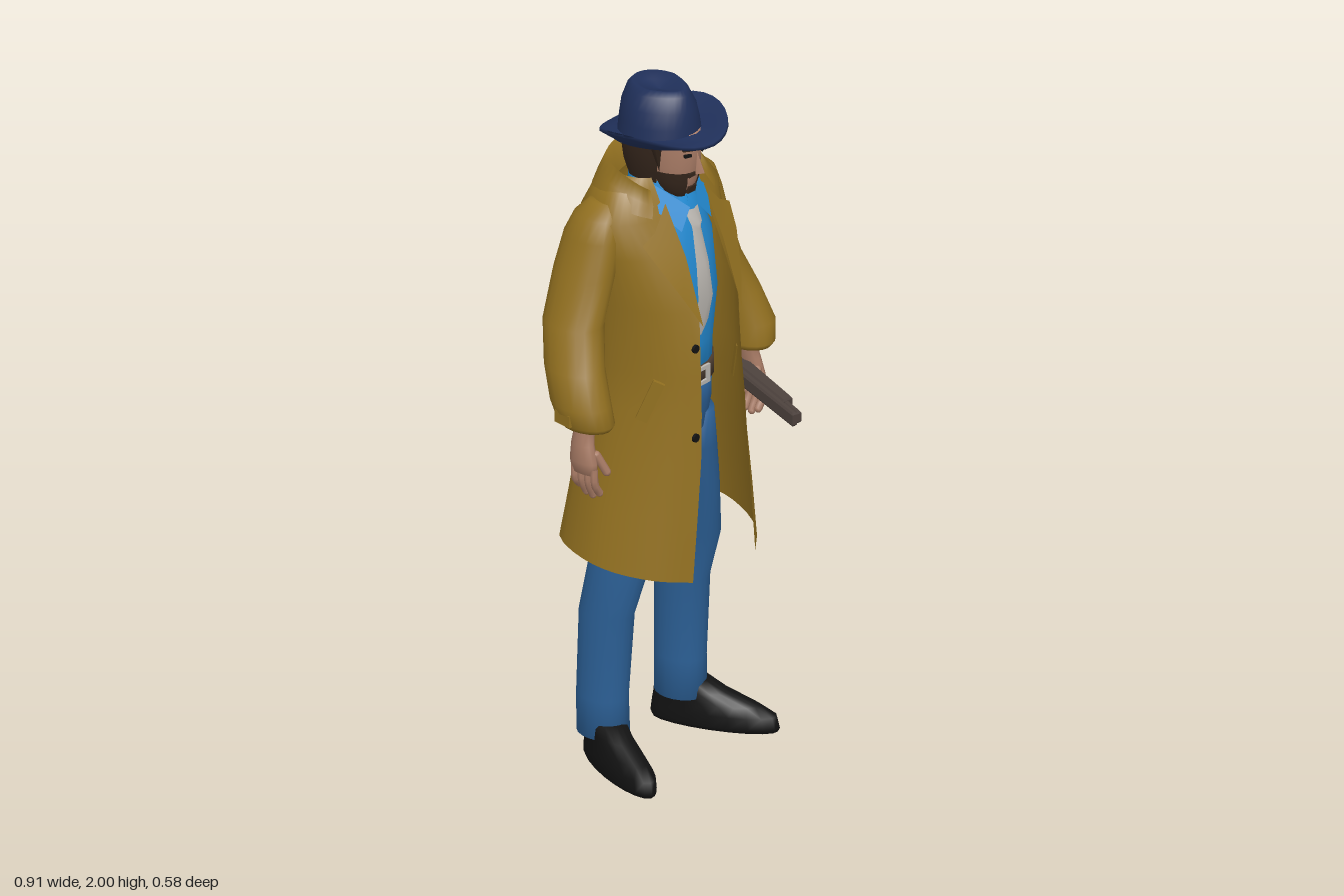
import * as THREE from 'three';

const mat = (name, color, double) => {
  const m = new THREE.MeshStandardMaterial({ color, side: double ? THREE.DoubleSide : THREE.FrontSide });
  m.name = name;
  return m;
};
const lerp = THREE.MathUtils.lerp;
const V = (x, y, z) => new THREE.Vector3(x, y, z);

// Skin a grid of cross-section rows, listed from bottom to top
function loft(rows, closed) {
  const n = rows[0].length, pos = [], idx = [];
  rows.forEach(r => r.forEach(p => pos.push(p.x, p.y, p.z)));
  for (let i = 0; i < rows.length - 1; i++)
    for (let j = 0; j < (closed ? n : n - 1); j++) {
      const a = i * n + j, b = i * n + (j + 1) % n;
      idx.push(a, a + n, b, b, a + n, b + n);
    }
  const g = new THREE.BufferGeometry();
  g.setAttribute('position', new THREE.Float32BufferAttribute(pos, 3));
  g.setIndex(idx);
  g.computeVertexNormals();
  return g;
}

// Elliptical sections [x, y, z, rx, rz]; a partial angle range leaves the shell open
function limb(sections, t0 = 0, t1 = 2, n = 20) {
  const closed = t1 - t0 === 2;
  const s = closed ? [[...sections[0].slice(0, 3), 0, 0], ...sections, [...sections.at(-1).slice(0, 3), 0, 0]] : sections;
  return loft(s.map(([x, y, z, rx, rz]) => Array.from({ length: closed ? n : n + 1 }, (_, j) => {
    const t = Math.PI * (t0 + (t1 - t0) * j / n);
    return V(x + rx * Math.cos(t), y, z + rz * Math.sin(t));
  })), closed);
}

// Open-fronted garment row: half width, opening, front z, back z, heights from front to back
function wrap(w, o, f, b, y) {
  const ys = Array.isArray(y) ? y : [y, y, y];
  const half = [[o, f], [o + 0.55 * (w - o), lerp(f, -0.02, 0.25)], [w * 0.96, lerp(f, -0.02, 0.65)],
    [w, -0.03], [w * 0.8, b * 0.75], [w * 0.4, b * 0.97], [0, b]];
  const pts = half.map(([x, z], i) => V(x, i < 3 ? lerp(ys[0], ys[1], i / 3) : lerp(ys[1], ys[2], (i - 3) / 3), z));
  const mirror = pts.slice(0, -1).reverse().map(p => V(-p.x, p.y, p.z));
  return new THREE.CatmullRomCurve3([...pts, ...mirror]).getPoints(36);
}

// Small fan-shaped cloth piece
function patch(points, s = 1) {
  const g = new THREE.BufferGeometry(), idx = [];
  g.setAttribute('position', new THREE.Float32BufferAttribute(points.flatMap(([x, y, z]) => [x * s, y, z]), 3));
  for (let i = 1; i < points.length - 1; i++) idx.push(0, i, i + 1);
  g.setIndex(idx);
  g.computeVertexNormals();
  return g;
}

// Flat-lying plate outlined in x and z, sloping up towards the back
function gunPlate(points, depth) {
  const shape = new THREE.Shape(points.map(([x, z]) => new THREE.Vector2(x, -z)));
  const g = new THREE.ExtrudeGeometry(shape, { depth: depth - 0.012, bevelThickness: 0.006, bevelSize: 0.004, bevelOffset: -0.004, bevelSegments: 1 });
  g.rotateX(-Math.PI / 2);
  const p = g.attributes.position;
  for (let i = 0; i < p.count; i++) p.setY(i, p.getY(i) - depth / 2 + 0.006 + 1.025 - 0.155 * p.getZ(i));
  g.computeVertexNormals();
  return g;
}

export function createModel() {
  const coat = mat('coat ochre', 0x927020, true), navy = mat('hat navy', 0x20305a, true);
  const shirt = mat('shirt blue', 0x2389d0, true), denim = mat('denim blue', 0x2c6096);
  const silver = mat('tie grey', 0xbab6b0, true), leather = mat('belt leather', 0x4a3b2f);
  const black = mat('shoe black', 0x121212), skin = mat('skin', 0xa97c66);
  const brown = mat('hair brown', 0x35261c, true), iron = mat('gun brown', 0x4c413c);

  const root = new THREE.Group(), body = new THREE.Group();
  body.name = 'man';
  body.position.x = -0.0425;
  root.add(body);
  const add = (name, geo, m, pos = [0, 0, 0], rot = [0, 0, 0], parent = body) => {
    const o = new THREE.Mesh(geo, m);
    o.name = name;
    o.position.set(...pos);
    o.rotation.set(...rot);
    parent.add(o);
    return o;
  };
  const box = (w, h, d) => new THREE.BoxGeometry(w, h, d);

  // Hat: brim curled up at the sides, pinched and dented crown
  const hatRing = (rx, rz, cz, yOf, pinch = 0) => Array.from({ length: 32 }, (_, j) => {
    const t = j / 16 * Math.PI, z = cz + rz * Math.sin(t);
    return V(rx * Math.cos(t) * (1 - pinch * Math.max(0, Math.sin(t))), yOf(t, z), z);
  });
  const brimY = (lift, k) => (t, z) => 1.848 + lift + 0.1 * (z - 0.02) + k * Math.cos(t) ** 2;
  add('hatBrim', loft([hatRing(0.09, 0.1, 0.015, brimY(0.006, 0)), hatRing(0.135, 0.145, 0.02, brimY(0, 0.012)),
    hatRing(0.17, 0.178, 0.022, brimY(0, 0.05)), hatRing(0.168, 0.176, 0.022, brimY(0.009, 0.05)),
    hatRing(0.135, 0.145, 0.02, brimY(0.012, 0.012)), hatRing(0.1, 0.115, 0.012, brimY(0.02, 0))], true), navy);
  add('hatCrown', loft([[0.107, 0.12, 1.855, 0], [0.102, 0.116, 1.9, 0.05], [0.095, 0.11, 1.945, 0.15],
    [0.078, 0.096, 1.985, 0.3], [0.062, 0.082, 2, 0.35], [0.035, 0.055, 1.985, 0.35], [0, 0, 1.977, 0]]
    .map(([rx, rz, y, p]) => hatRing(rx, rz, 0.008, () => y, p)), true), navy);

  // Head, neck and hair
  const head = new THREE.Group();
  head.name = 'head';
  head.position.x = 0.008;
  body.add(head);
  const face = (name, g, m, p, r) => add(name, g, m, p, r, head);
  face('skull', limb([[0, 1.69, 0.06, 0.032, 0.04], [0, 1.705, 0.053, 0.048, 0.058], [0, 1.735, 0.045, 0.06, 0.076],
    [0, 1.78, 0.03, 0.07, 0.1], [0, 1.84, 0.022, 0.075, 0.113], [0, 1.88, 0.02, 0.073, 0.11]]), skin);
  face('neck', limb([[0, 1.6, 0, 0.058, 0.06], [0, 1.75, 0.015, 0.052, 0.058]]), skin);
  face('nose', new THREE.ConeGeometry(0.017, 0.06, 4), skin, [0, 1.795, 0.138], [-0.15, 0, 0]);
  face('hair', limb([[0, 1.715, -0.005, 0.07, 0.085], [0, 1.76, 0, 0.085, 0.105], [0, 1.82, 0.005, 0.098, 0.115],
    [0, 1.88, 0.01, 0.098, 0.11]], 0.83, 2.17), brown);
  face('moustache', box(0.056, 0.011, 0.009), brown, [0, 1.759, 0.125]);
  face('goatee', box(0.03, 0.022, 0.009), brown, [0, 1.708, 0.112], [0.25, 0, 0]);
  for (const s of [-1, 1]) {
    face('eye', box(0.021, 0.008, 0.008), black, [0.031 * s, 1.821, 0.126], [0, 0.35 * s, 0]);
    face('eyebrow', box(0.03, 0.009, 0.009), brown, [0.031 * s, 1.84, 0.126], [0, 0.35 * s, 0.12 * s]);
    face('hairLock', new THREE.ConeGeometry(0.02, 0.1, 6), brown, [0.082 * s, 1.82, 0.062], [Math.PI, 0, 0.15 * s]);
    face('beardSide', limb([[0, 1.685, 0.06, 0.034, 0.042], [0, 1.703, 0.053, 0.051, 0.061], [0, 1.735, 0.045, 0.063, 0.079],
      [0, 1.765, 0.035, 0.07, 0.094]], s > 0 ? 0 : 0.62, s > 0 ? 0.38 : 1, 8), brown);
  }

  // Shirt, tie and belt
  add('shirtBody', limb([[0, 1.12, 0.025, 0.135, 0.12], [0, 1.25, 0.022, 0.14, 0.128], [0, 1.4, 0.02, 0.15, 0.145],
    [0, 1.55, 0.01, 0.15, 0.135], [0, 1.64, 0, 0.125, 0.108], [0, 1.69, 0, 0.072, 0.08]]), shirt);
  add('shirtCollarBand', loft([[1.64, 0.085, 0.1], [1.73, 0.07, 0.075]].map(([y, w, f]) => wrap(w, 0.015, f, -0.075, y)), false), shirt);
  const tieRows = [[1.235, 0.002, 0.142], [1.28, 0.033, 0.147], [1.4, 0.03, 0.174], [1.5, 0.025, 0.163],
    [1.6, 0.017, 0.142], [1.615, 0.022, 0.142], [1.655, 0.027, 0.122]];
  add('tie', loft(tieRows.map(([y, w, z]) => [V(-w, y, z - 0.004), V(0, y, z + 0.006), V(w, y, z - 0.004)]), false), silver);
  add('belt', limb([[0, 1.13, 0.025, 0.143, 0.127], [0, 1.185, 0.025, 0.143, 0.127]]), leather);
  const frame = new THREE.Shape([[-0.034, -0.027], [0.034, -0.027], [0.034, 0.027], [-0.034, 0.027]].map(p => new THREE.Vector2(...p)));
  frame.holes.push(new THREE.Path([[-0.022, -0.016], [-0.022, 0.016], [0.022, 0.016], [0.022, -0.016]].map(p => new THREE.Vector2(...p))));
  add('buckle', new THREE.ExtrudeGeometry(frame, { depth: 0.008, bevelEnabled: false }), silver, [0, 1.158, 0.15]);

  // Trousers
  add('trouserHips', limb([[0, 0.93, 0.015, 0.06, 0.09], [0, 0.98, 0.018, 0.13, 0.112], [0, 1.06, 0.022, 0.142, 0.12],
    [0, 1.14, 0.025, 0.138, 0.122]]), denim);

  // Coat shell and turned-up collar
  add('coatBody', loft([
    wrap(0.275, 0.13, 0.235, -0.215, [0.61, 0.652, 0.678]), wrap(0.248, 0.112, 0.236, -0.196, 0.8),
    wrap(0.22, 0.096, 0.235, -0.175, 0.96), wrap(0.203, 0.09, 0.232, -0.152, 1.1), wrap(0.193, 0.085, 0.225, -0.137, 1.21),
    wrap(0.202, 0.08, 0.215, -0.157, 1.4), wrap(0.222, 0.08, 0.15, -0.167, 1.55), wrap(0.23, 0.085, 0.1, -0.16, 1.65),
    wrap(0.175, 0.085, 0.065, -0.135, 1.725), wrap(0.12, 0.085, 0.05, -0.11, 1.755)], false), coat);
  add('coatCollar', loft([wrap(0.115, 0.085, 0.08, -0.1, [1.66, 1.7, 1.72]), wrap(0.145, 0.1, 0.06, -0.115, [1.725, 1.785, 1.81]),
    wrap(0.168, 0.115, 0.082, -0.13, [1.69, 1.745, 1.765]), wrap(0.186, 0.13, 0.092, -0.145, [1.66, 1.7, 1.715])], false), coat);
  for (const y of [1.3, 1.04])
    add('coatButton', new THREE.CylinderGeometry(0.012, 0.012, 0.008, 12), black, [y > 1.2 ? -0.103 : -0.115, y, y > 1.2 ? 0.221 : 0.232], [Math.PI / 2, 0, 0]);

  for (const s of [-1, 1]) {
    const side = s > 0 ? 'left' : 'right';
    add(side + 'ShirtCollarWing', patch([[0.016, 1.665, 0.128], [0.082, 1.735, 0.055], [0.1, 1.665, 0.09], [0.062, 1.61, 0.138]], s), shirt);
    add(side + 'Lapel', patch([[0.078, 1.55, 0.166], [0.08, 1.36, 0.23], [0.122, 1.45, 0.192], [0.162, 1.54, 0.142],
      [0.182, 1.6, 0.1], [0.135, 1.625, 0.105], [0.08, 1.69, 0.095]], s), coat);
    add(side + 'PocketFlap', box(0.034, 0.125, 0.012), coat, [0.178 * s, 1.14, 0.124], [0, 0.95 * s, 0.4 * s]);

    // Sleeve, bent slightly forward, with a cuff strap
    add(side + 'Sleeve', limb([[0.333, 1.1, 0.03, 0.056, 0.078], [0.336, 1.115, 0.03, 0.064, 0.088], [0.343, 1.17, 0.018, 0.071, 0.091],
      [0.326, 1.26, -0.018, 0.07, 0.091], [0.287, 1.37, -0.055, 0.07, 0.092], [0.238, 1.5, -0.058, 0.07, 0.094],
      [0.212, 1.6, -0.052, 0.062, 0.087], [0.198, 1.66, -0.045, 0.052, 0.07], [0.175, 1.695, -0.04, 0.03, 0.045]]
      .map(([x, ...r]) => [x * s, ...r])), coat);
    add(side + 'CuffStrap', box(0.012, 0.035, 0.06), coat, [0.4 * s, 1.135, 0.005], [0, 0.15 * s, 0]);

    // Hand: palm, four curled fingers and a thumb
    add(side + 'Palm', limb([[0.35, 0.965, 0.038, 0.016, 0.042], [0.352, 1.0, 0.036, 0.022, 0.046], [0.348, 1.05, 0.03, 0.024, 0.036],
      [0.34, 1.085, 0.028, 0.027, 0.03], [0.336, 1.13, 0.028, 0.03, 0.033]].map(([x, ...r]) => [x * s, ...r]), 0, 2, 12), skin);
    for (let i = 0; i < 4; i++) {
      const z = 0.004 + 0.023 * i, drop = [0.02, 0.004, 0, 0.012][i];
      const path = new THREE.CatmullRomCurve3([V(0.352 * s, 0.985, z), V(0.352 * s, 0.94, z + 0.002), V(0.332 * s, 0.895 + drop, z + 0.002)]);
      add(side + 'Finger', new THREE.TubeGeometry(path, 5, 0.011, 7), skin);
      add(side + 'Fingertip', new THREE.SphereGeometry(0.011, 7, 5), skin, path.getPoint(1).toArray());
    }
    add(side + 'Thumb', new THREE.CapsuleGeometry(0.012, 0.06, 3, 8), skin, [0.327 * s, 0.995, 0.078], [-0.35, 0, 0.35 * -s]);

    // Trouser leg and shoe turned outwards
    add(side + 'TrouserLeg', limb([[0.162, 0.085, -0.055, 0.064, 0.078], [0.163, 0.2, -0.057, 0.062, 0.077], [0.158, 0.45, -0.046, 0.064, 0.083],
      [0.15, 0.6, -0.01, 0.066, 0.093], [0.115, 0.77, 0.003, 0.074, 0.102], [0.085, 0.9, 0.012, 0.08, 0.107], [0.065, 1.02, 0.02, 0.072, 0.11]]
      .map(([x, ...r]) => [x * s, ...r])), denim);
    add(side + 'Shoe', limb([[0, 0, 0.092, 0.05, 0.178], [0, 0.012, 0.092, 0.056, 0.184], [0, 0.045, 0.09, 0.056, 0.178],
      [0, 0.07, 0.068, 0.05, 0.152], [0, 0.1, 0.027, 0.048, 0.108], [0, 0.13, 0, 0.05, 0.074]]), black, [0.165 * s, 0, -0.05], [0, 0.38 * s, 0]);
  }

  // Short double-barrelled gun lying flat in the left hand
  const gun = new THREE.Group();
  gun.name = 'gun';
  root.add(gun);
  const part = (name, pts, depth) => add(name, gunPlate(pts, depth), iron, [0, 0, 0], [0, 0, 0], gun);
  part('gunBarrels', [[0.181, 0.287], [0.198, 0.29], [0.283, -0.09], [0.262, -0.09]], 0.042);
  part('gunLowerBarrel', [[0.199, 0.287], [0.216, 0.29], [0.304, -0.09], [0.283, -0.09]], 0.036);
  part('gunForend', [[0.208, 0.232], [0.243, 0.236], [0.318, -0.06], [0.275, -0.07]], 0.05);
  part('gunReceiver', [[0.266, -0.07], [0.325, -0.07], [0.345, -0.095], [0.362, -0.185], [0.31, -0.2], [0.274, -0.182]], 0.046);
  part('gunStock', [[0.278, -0.175], [0.35, -0.165], [0.372, -0.205], [0.405, -0.23], [0.445, -0.238], [0.455, -0.25],
    [0.453, -0.28], [0.437, -0.293], [0.385, -0.28], [0.335, -0.25], [0.3, -0.212]], 0.038);
  add('triggerGuard', new THREE.TorusGeometry(0.026, 0.004, 6, 16), iron, [0.362, 1.048, -0.152], [Math.PI / 2 + 0.155, 0, 0], gun);
  add('trigger', box(0.026, 0.008, 0.007), iron, [0.362, 1.048, -0.155], [0, 0.4, 0], gun);
  return root;
}
